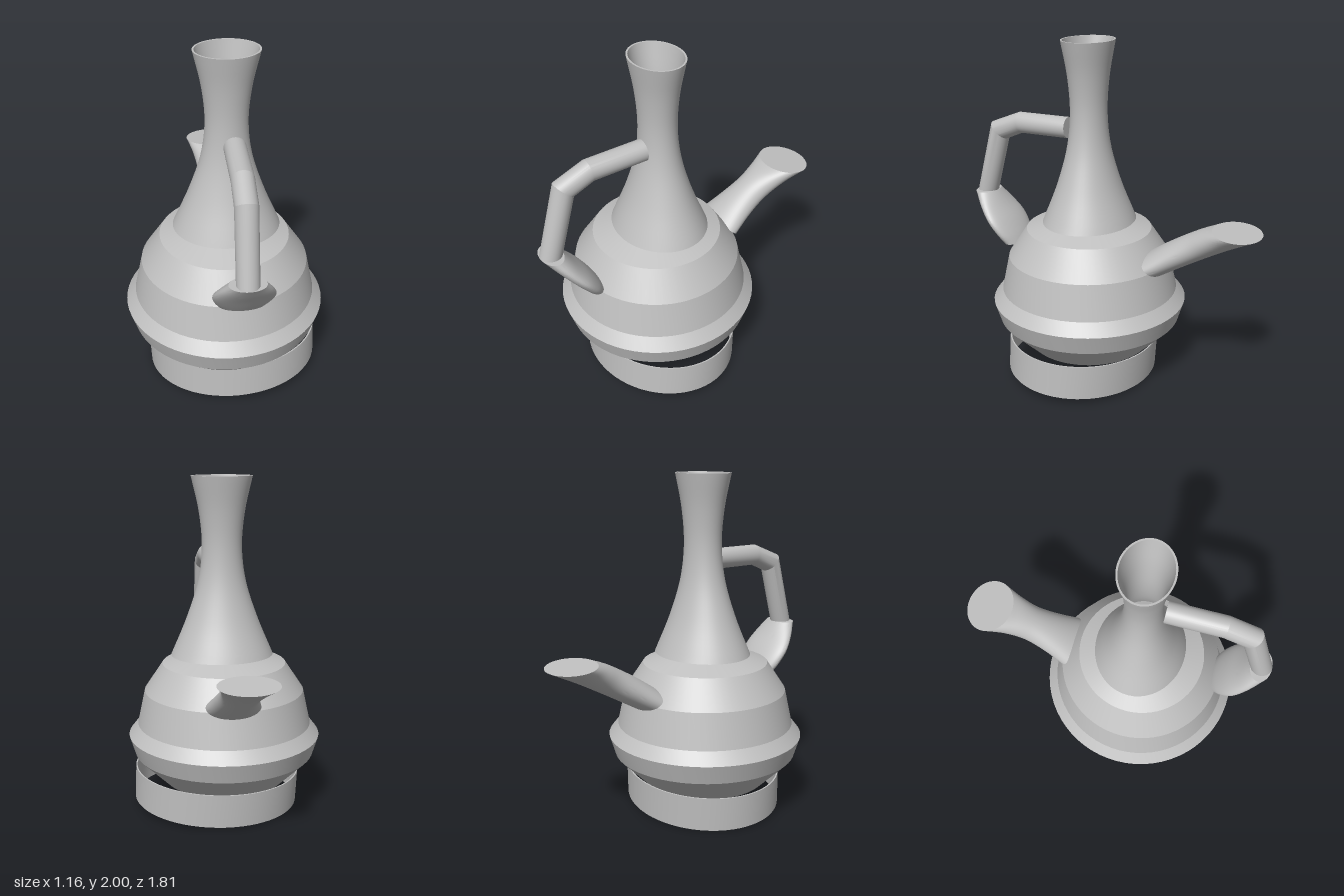
import * as THREE from 'three';
import { toCreasedNormals } from 'three/addons/utils/BufferGeometryUtils.js';

const clay = new THREE.MeshStandardMaterial({ color: 0xc0c0c0 });
clay.name = 'grey clay';

// Skin a row of ellipses. Each row is [az, ay, bz, by, rx]: two opposite
// points in the middle plane and the half width along x.
function loft(rows, cx, capped, sides = 48) {
  const pos = [], idx = [];
  for (const [az, ay, bz, by, rx] of rows) {
    for (let i = 0; i < sides; i++) {
      const t = (i / sides) * Math.PI * 2, s = Math.sin(t) / 2;
      pos.push(cx + Math.cos(t) * rx, (ay + by) / 2 + (ay - by) * s, (az + bz) / 2 + (az - bz) * s);
    }
  }
  for (let r = 0; r < rows.length - 1; r++) {
    for (let i = 0; i < sides; i++) {
      const j = (i + 1) % sides, a = r * sides, b = a + sides;
      idx.push(a + i, a + j, b + j, a + i, b + j, b + i);
    }
  }
  if (capped) {
    const last = (rows.length - 1) * sides;
    for (let i = 1; i < sides - 1; i++) {
      idx.push(0, i + 1, i, last, last + i, last + i + 1);
    }
  }
  const g = new THREE.BufferGeometry();
  g.setAttribute('position', new THREE.Float32BufferAttribute(pos, 3));
  g.setIndex(idx);
  return g;
}

// Smooth a few rows into many
function smoothRows(rows, steps) {
  const a = new THREE.CatmullRomCurve3(rows.map(r => new THREE.Vector3(r[4], r[1], r[0])));
  const b = new THREE.CatmullRomCurve3(rows.map(r => new THREE.Vector3(r[4], r[3], r[2])));
  return Array.from({ length: steps + 1 }, (_, i) => {
    const p = a.getPoint(i / steps), q = b.getPoint(i / steps);
    return [p.z, p.y, q.z, q.y, p.x];
  });
}

// Level ellipse for upright lofts
const level = (y, rx, rz, cz) => [cz - rz, y, cz + rz, y, rx];

export function createModel() {
  const group = new THREE.Group();
  const add = (name, geometry) => {
    const mesh = new THREE.Mesh(toCreasedNormals(geometry, 0.3), clay);
    mesh.name = name;
    group.add(mesh);
    return mesh;
  };

  // Banded round belly, closed at both ends
  const profile = [
    [0, 0.05], [0.13, 0.05], [0.37, 0.17], [0.545, 0.345], [0.58, 0.46],
    [0.525, 0.53], [0.48, 0.735], [0.37, 0.9], [0.21, 0.955], [0, 0.955],
  ].map(p => new THREE.Vector2(...p));
  add('body', new THREE.LatheGeometry(profile, 64)).position.z = 0.155;

  // Slender oval neck: outer wall up, inner wall down
  const outer = smoothRows([
    [0.955, 0.305, 0.265], [1.18, 0.21, 0.178], [1.4, 0.14, 0.121],
    [1.6, 0.117, 0.103], [1.8, 0.134, 0.114], [2, 0.178, 0.145],
  ].map(([y, rx, rz]) => level(y, rx, rz, 0.143)), 24);
  const inner = outer.map(([az, ay, bz, by, rx]) => [az + 0.01, ay, bz - 0.01, by, rx - 0.01]).reverse();
  add('neck', loft([...outer, ...inner, outer[0]], 0.013, false));

  // Thin oval stand, slightly tilted
  const ring = add('baseRing', loft([
    level(0, 0.504, 0.436, 0), level(0.205, 0.504, 0.436, 0),
    level(0.205, 0.496, 0.428, 0), level(0, 0.496, 0.428, 0), level(0, 0.504, 0.436, 0),
  ], 0, false, 64));
  ring.position.set(0.05, 0.03, 0.177);
  ring.rotation.set(-0.048, 0, 0.042);

  // Angular handle of mitred tubes
  add('handle', loft([
    [0.26, 1.558, 0.255, 1.436, 0.061],
    [0.594, 1.553, 0.572, 1.431, 0.061],
    [0.784, 1.478, 0.684, 1.383, 0.061],
    [0.906, 1.044, 0.779, 1.044, 0.061],
  ], 0.045, true, 32));

  // Flared foot joining the handle to the belly
  add('handleFoot', loft(smoothRows([
    [0.906, 1.044, 0.779, 1.044, 0.098],
    [0.85, 0.965, 0.72, 0.965, 0.142],
    [0.79, 0.885, 0.655, 0.885, 0.167],
    [0.735, 0.81, 0.605, 0.81, 0.155],
    [0.69, 0.75, 0.575, 0.75, 0.128],
  ], 16), 0.045, true));

  // Spout with a waist and a slanted, closed mouth
  add('spout', loft(smoothRows([
    [-0.35, 0.705, -0.235, 0.81, 0.157],
    [-0.46, 0.77, -0.36, 0.895, 0.125],
    [-0.58, 0.84, -0.475, 0.965, 0.108],
    [-0.73, 0.925, -0.56, 1.01, 0.124],
    [-0.905, 1.015, -0.635, 1.04, 0.162],
  ], 20), 0.012, true));

  return group;
}
